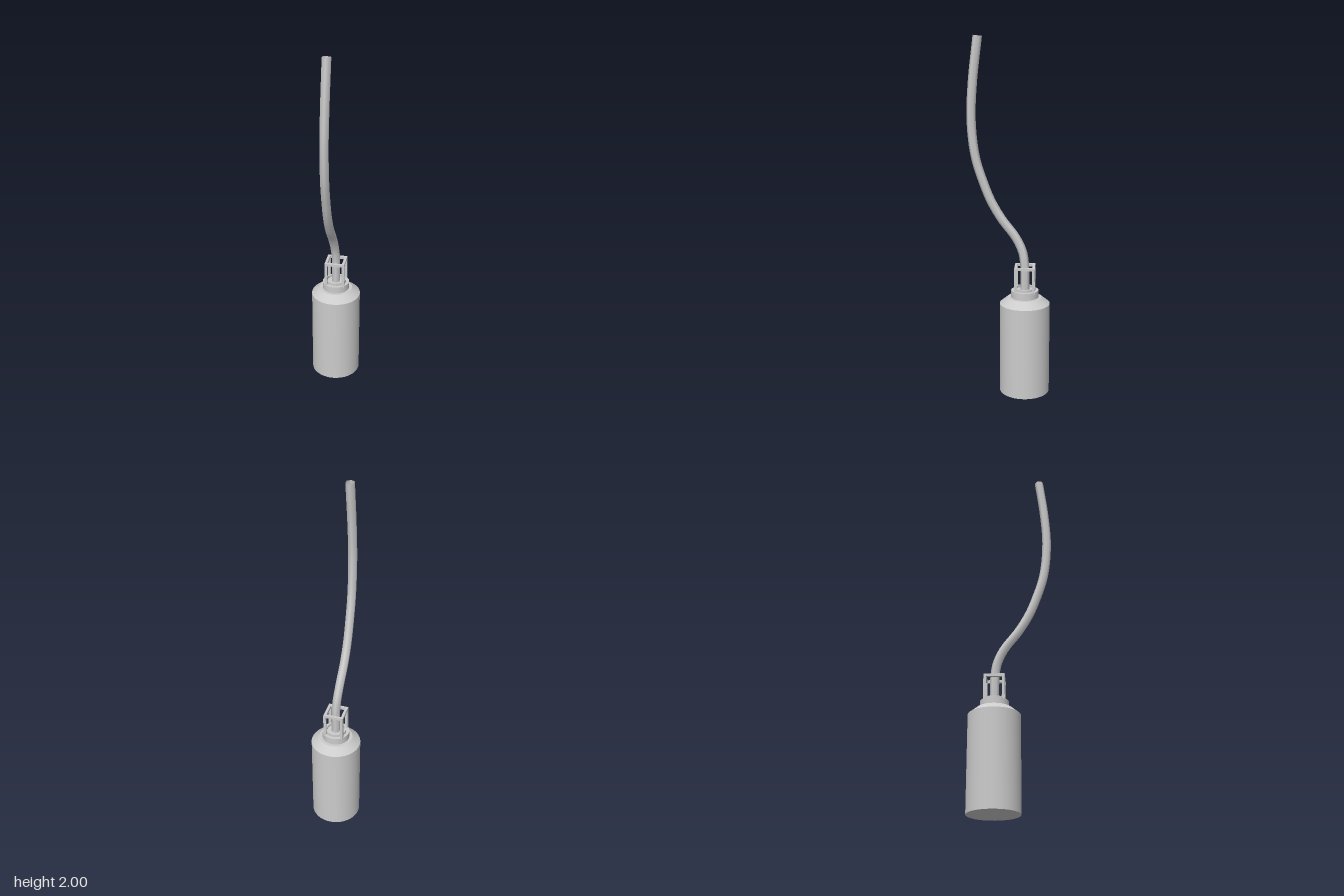
import * as THREE from 'three';
import { toCreasedNormals } from 'three/addons/utils/BufferGeometryUtils.js';

export function createModel() {
  const model = new THREE.Group();
  model.name = 'floatSwitch';
  // All parts share one vertical axis, set back from the origin
  model.position.z = -0.09;

  const material = new THREE.MeshStandardMaterial({ color: 0xcccccc });
  const add = (name, geometry, parent = model, mat = material) => {
    const mesh = new THREE.Mesh(geometry, mat);
    mesh.name = name;
    parent.add(mesh);
    return mesh;
  };
  const turned = (profile) => toCreasedNormals(
    new THREE.LatheGeometry(profile.map(([r, y]) => new THREE.Vector2(r, y)), 48), 0.5);

  // Canister with sloped shoulder
  add('canister', turned([[0, 0], [0.141, 0], [0.141, 0.523], [0.095, 0.56], [0, 0.56]]));

  // Collar with a low raised rim around a shallow recess
  add('collar', turned([[0.077, 0.555], [0.077, 0.6], [0.059, 0.6], [0.059, 0.615],
    [0.05, 0.615], [0.05, 0.602], [0, 0.602]]));

  // Open square cage: four posts and four top rails
  const cage = new THREE.Group();
  cage.name = 'cage';
  model.add(cage);
  const half = 0.057, bar = 0.015, c = half - bar / 2;
  const bottom = 0.59, top = 0.74;
  for (const sx of [-1, 1]) {
    for (const sz of [-1, 1]) {
      add('cagePost', new THREE.BoxGeometry(bar, top - bottom, bar), cage)
        .position.set(sx * c, (top + bottom) / 2, sz * c);
    }
    const inner = 2 * (half - bar);
    add('cageRail', new THREE.BoxGeometry(bar, bar, inner), cage)
      .position.set(sx * c, top - bar / 2, 0);
    add('cageRail', new THREE.BoxGeometry(inner, bar, bar), cage)
      .position.set(0, top - bar / 2, sx * c);
  }

  // Hexagonal hose, open at the upper end
  const path = new THREE.CatmullRomCurve3([
    [0, 0.6, 0], [0, 0.65, 0], [0, 0.7, 0], [0, 0.75, 0.002], [-0.004, 0.82, 0.014],
    [-0.009, 0.9, 0.052], [-0.012, 1.0, 0.128], [-0.012, 1.1, 0.187], [-0.011, 1.2, 0.228],
    [-0.009, 1.35, 0.274], [-0.007, 1.55, 0.295], [-0.004, 1.75, 0.286], [0, 1.996, 0.257],
  ].map((p) => new THREE.Vector3(...p)));
  const hoseMaterial = material.clone();
  hoseMaterial.side = THREE.DoubleSide;
  add('hose', new THREE.TubeGeometry(path, 48, 0.025, 6), model, hoseMaterial);

  return model;
}
